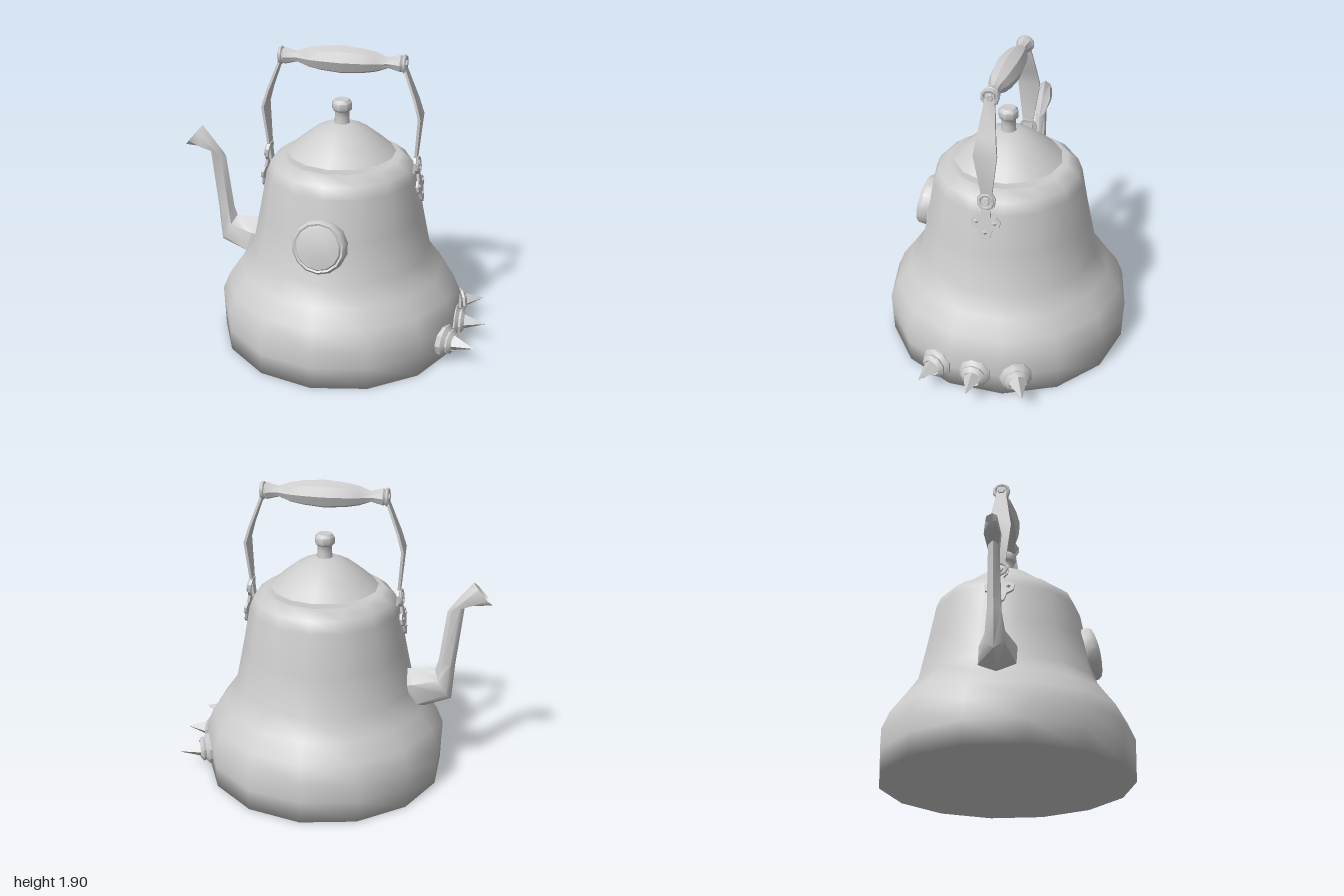
import * as THREE from 'three';
import { toCreasedNormals } from 'three/addons/utils/BufferGeometryUtils.js';

const CX = 0.033; // axis of the pot

export function createModel() {
  const root = new THREE.Group();
  root.name = 'kettle';
  const metal = new THREE.MeshStandardMaterial({ color: 0xcccccc, side: THREE.DoubleSide });
  metal.name = 'grey metal';

  const add = (parent, name, geometry, x = 0, y = 0, z = 0) => {
    const mesh = new THREE.Mesh(geometry, metal);
    mesh.name = name;
    mesh.position.set(x, y, z);
    parent.add(mesh);
    return mesh;
  };
  const lathe = (points, sides) =>
    new THREE.LatheGeometry(points.map(([r, y]) => new THREE.Vector2(r, y)), sides);

  // Skin over equal-length rings of points, with the last ring optionally capped
  const loft = (rings, crease, cap = false) => {
    const n = rings[0].length;
    const index = [];
    for (let i = 0; i < rings.length - 1; i++) {
      for (let j = 0; j < n; j++) {
        const a = i * n + j, b = i * n + (j + 1) % n;
        index.push(a, b, a + n, b, b + n, a + n);
      }
    }
    const last = (rings.length - 1) * n;
    if (cap) for (let j = 1; j < n - 1; j++) index.push(last, last + j, last + j + 1);
    const g = new THREE.BufferGeometry();
    g.setAttribute('position', new THREE.Float32BufferAttribute(rings.flat(2), 3));
    g.setIndex(index);
    return toCreasedNormals(g, crease);
  };

  // Bell-shaped pot with a recessed mouth
  add(root, 'body', lathe([
    [0, 0], [0.768, 0], [0.772, 0.14], [0.776, 0.26], [0.73, 0.37], [0.65, 0.48], [0.567, 0.6],
    [0.515, 0.85], [0.468, 1.1], [0.44, 1.17], [0.37, 1.225], [0.32, 1.19], [0, 1.18],
  ], 14), CX);

  // Domed lid and its knob
  add(root, 'lid', lathe([
    [0.335, 1.24], [0.26, 1.305], [0.165, 1.38], [0.075, 1.42], [0, 1.425],
  ], 14), CX);
  add(root, 'lidKnob', toCreasedNormals(lathe([
    [0.05, 1.41], [0.045, 1.46], [0.046, 1.495], [0.062, 1.51], [0.062, 1.55], [0.045, 1.57], [0, 1.565],
  ], 8), 0.9), CX);

  // Round badge leaning with the front wall
  const badge = new THREE.Group();
  badge.name = 'badge';
  badge.position.set(0.03, 0.825, 0.51);
  badge.rotation.x = -0.19;
  root.add(badge);
  add(badge, 'badgeDisc', toCreasedNormals(lathe([
    [0.165, -0.02], [0.165, 0.035], [0.15, 0.055], [0.138, 0.05], [0.13, 0.062], [0.07, 0.072], [0, 0.074],
  ], 14), 0.7)).rotation.x = Math.PI / 2;

  // Spout: each section is inner x,y, outer x,y and half depth
  const spoutRings = [
    [-0.46, 0.71, -0.46, 0.43, 0.13],
    [-0.52, 0.715, -0.6, 0.455, 0.125],
    [-0.67, 0.715, -0.78, 0.53, 0.065],
    [-0.69, 0.78, -0.795, 0.77, 0.045],
    [-0.73, 1.12, -0.835, 1.17, 0.036],
    [-0.8, 1.22, -0.91, 1.175, 0.055],
    [-0.88, 1.32, -1.0, 1.18, 0.035],
  ].map(([ix, iy, ox, oy, d]) => Array.from({ length: 6 }, (_, k) => {
    const a = k * Math.PI / 3, t = (1 - Math.cos(a)) / 2;
    return [ix + (ox - ix) * t, iy + (oy - iy) * t, d * Math.sin(a)];
  }));
  add(root, 'spout', loft(spoutRings, 0.9));

  // Three studs with spikes on the left flank
  const spikeProfile = [[0.08, -0.03], [0.1, 0.0], [0.1, 0.03], [0.075, 0.05], [0.08, 0.065], [0.055, 0.085]];
  for (const [x, z, turn] of [[0.74, 0.245, -0.3], [0.765, 0, 0], [0.735, -0.24, 0.45]]) {
    const stud = new THREE.Group();
    stud.name = 'spikeStud';
    stud.position.set(x, 0.135, z);
    stud.rotation.y = turn;
    root.add(stud);
    add(stud, 'studBase', toCreasedNormals(lathe(spikeProfile, 9), 0.6)).rotation.z = -Math.PI / 2;
    const cone = new THREE.ConeGeometry(0.057, 0.15, 4);
    add(stud, 'spike', toCreasedNormals(cone, 0.5), 0.145).rotation.z = -Math.PI / 2;
  }

  // Turned grip lying across the top
  const half = [[0.075, 0.13], [0.06, 0.21], [0.033, 0.28], [0.053, 0.355], [0.04, 0.37], [0, 0.37]];
  const grip = [...half.map(([r, y]) => [r, -y]).reverse(), [0.086, 0], ...half];
  add(root, 'grip', toCreasedNormals(lathe(grip, 8), 0.7), CX, 1.817).rotation.z = -Math.PI / 2;

  // Mounting plate outline, centred on its pivot
  const plate = new THREE.Shape();
  const side = [[0.03, 0.055], [0.055, 0.02], [0.05, -0.03], [0.025, -0.06], [0.03, -0.1], [0.06, -0.095],
    [0.09, -0.12], [0.085, -0.155], [0.045, -0.18], [0.03, -0.225]];
  plate.setFromPoints([...side, [0, -0.25], ...side.map(([x, y]) => [-x, y]).reverse()]
    .map(([x, y]) => new THREE.Vector2(x, y)));
  const plateGeometry = new THREE.ExtrudeGeometry(plate, { depth: 0.016, bevelEnabled: false });

  // Strap, eyelet and plate, repeated by a half turn
  for (const [name, turn] of [['leftHandleArm', 0], ['rightHandleArm', Math.PI]]) {
    const arm = new THREE.Group();
    arm.name = name;
    arm.position.x = CX;
    arm.rotation.y = turn;
    root.add(arm);

    const strap = [[0.455, 1.14, 0.028], [0.463, 1.22, 0.03], [0.485, 1.5, 0.07],
      [0.455, 1.6, 0.056], [0.378, 1.8, 0.03], [0.376, 1.86, 0.025]];
    add(arm, 'strap', loft(strap.map(([x, y, w]) => [
      [x - 0.008, y, -w], [x - 0.008, y, w], [x + 0.008, y, w], [x + 0.008, y, -w],
    ]), 0.5, true));

    const eyelet = add(arm, 'gripEyelet', new THREE.TorusGeometry(0.045, 0.013, 5, 9), 0.378, 1.817);
    eyelet.rotation.y = Math.PI / 2;
    const rivet = toCreasedNormals(new THREE.CylinderGeometry(0.02, 0.032, 0.03, 6), 0.5);
    add(arm, 'gripRivet', rivet, 0.38, 1.817).rotation.z = -Math.PI / 2;

    const mount = new THREE.Group();
    mount.name = 'mount';
    mount.position.set(0.462, 1.195, 0);
    mount.rotation.z = 0.17;
    arm.add(mount);
    add(mount, 'mountPlate', plateGeometry).rotation.y = Math.PI / 2;
    add(mount, 'pivotRing', new THREE.TorusGeometry(0.042, 0.011, 5, 9), 0.018).rotation.y = Math.PI / 2;
    add(mount, 'pivotRivet', rivet, 0.012).rotation.z = -Math.PI / 2;
    for (const [y, z] of [[-0.13, 0.055], [-0.13, -0.055], [-0.195, 0]]) {
      const nail = toCreasedNormals(new THREE.ConeGeometry(0.018, 0.014, 4), 0.3);
      add(mount, 'nail', nail, 0.022, y, z).rotation.z = -Math.PI / 2;
    }
  }
  return root;
}
